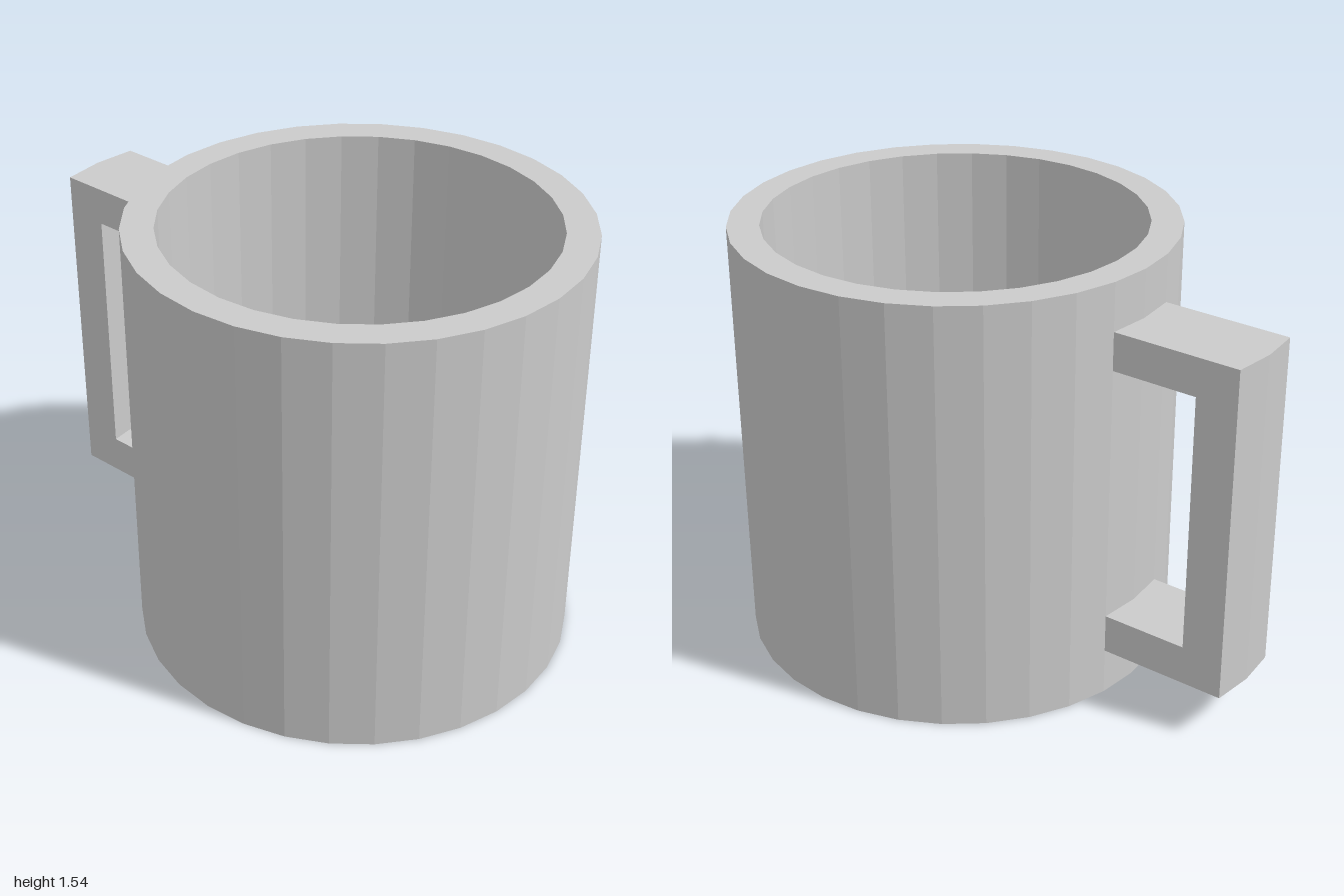
import * as THREE from 'three';

const SIDES = 32;
const RADIUS = 0.77, INNER = 0.66, HEIGHT = 1.54, FLOOR = 0.11;
const CENTRE_Z = 0.23;
const HALF_WIDTH = RADIUS * Math.sin((2 * Math.PI) / SIDES); // handle spans two facets
const BULGE = RADIUS * (1 - Math.cos((2 * Math.PI) / SIDES));

const material = new THREE.MeshStandardMaterial({ color: 0xcccccc, flatShading: true });

// Hollow cup: bottom, outer wall, rim, inner wall and floor in one profile
function makeCup() {
  const profile = [
    [0, 0], [RADIUS, 0], [RADIUS, HEIGHT], [INNER, HEIGHT], [INNER, FLOOR], [0, FLOOR],
  ].map(([r, y]) => new THREE.Vector2(r, y));
  const cup = new THREE.Mesh(new THREE.LatheGeometry(profile, SIDES), material);
  cup.name = 'cup';
  cup.position.z = CENTRE_Z;
  return cup;
}

// Square C-shaped handle whose middle follows the two facets of the wall
function makeHandle() {
  const root = 0.515, grip = 0.835, back = 0.985;
  const shape = new THREE.Shape([
    [root, 0.17], [back, 0.17], [back, 1.37], [root, 1.37],
    [root, 1.235], [grip, 1.235], [grip, 0.31], [root, 0.31],
  ].map(([x, y]) => new THREE.Vector2(x, y)));
  const geometry = new THREE.ExtrudeGeometry(shape, {
    depth: 2 * HALF_WIDTH, steps: 2, bevelEnabled: false,
  });
  geometry.rotateY(Math.PI / 2).translate(-HALF_WIDTH, 0, 0);

  // Push the middle section backwards to form the ridge
  const pos = geometry.attributes.position;
  for (let i = 0; i < pos.count; i++) {
    if (Math.abs(pos.getX(i)) < 0.01) pos.setZ(i, pos.getZ(i) - BULGE);
  }
  geometry.computeVertexNormals();

  const handle = new THREE.Mesh(geometry, material);
  handle.name = 'handle';
  return handle;
}

export function createModel() {
  const mug = new THREE.Group();
  mug.name = 'mug';
  mug.add(makeCup(), makeHandle());
  return mug;
}
